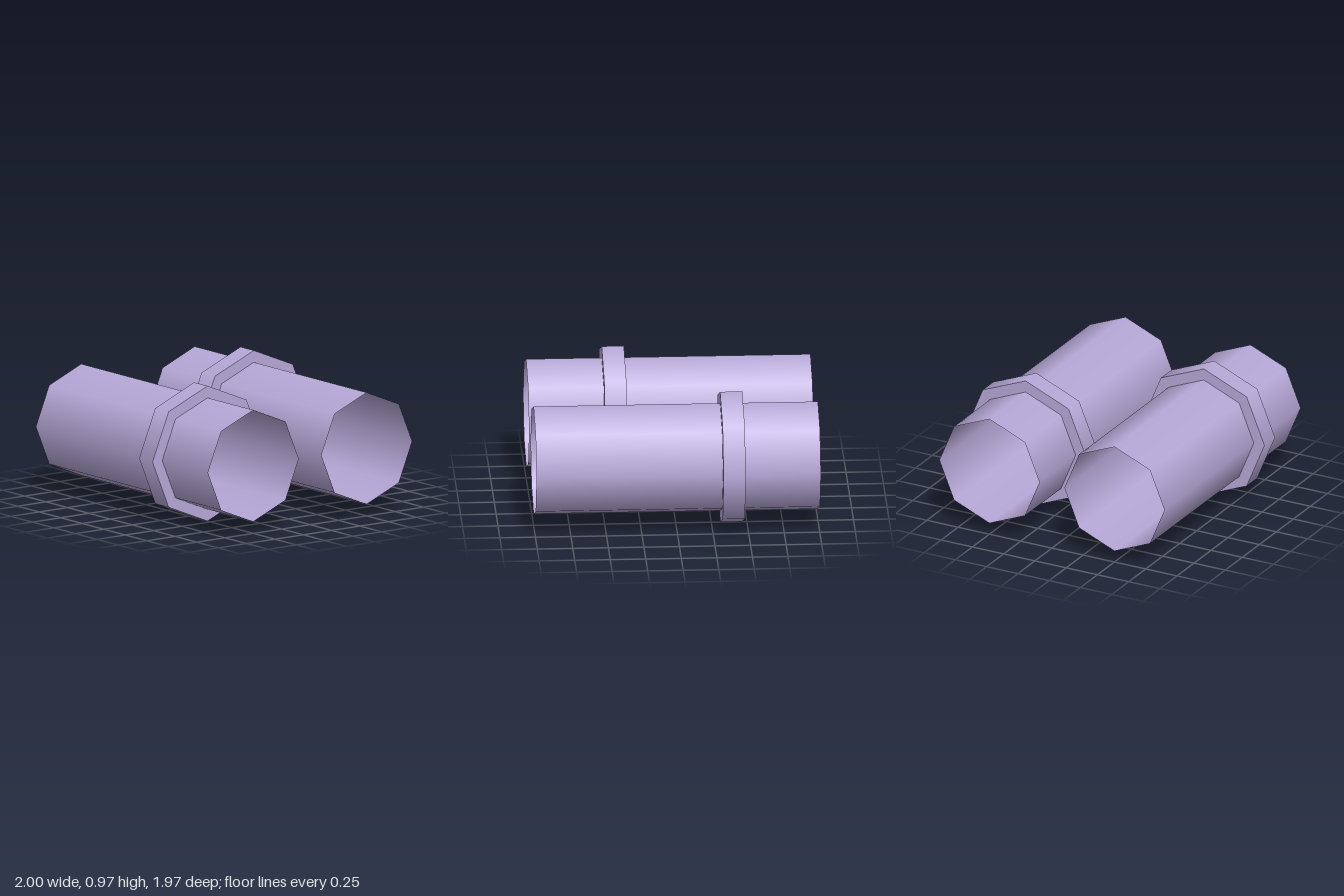
import * as THREE from 'three';

const SIDES = 8;
const PIPE_RADIUS = 0.4;
const COLLAR_RADIUS = 0.485;
const COLLAR_WIDTH = 0.156;

export function createModel() {
  const model = new THREE.Group();
  model.name = 'pipePair';
  const material = new THREE.MeshStandardMaterial({ color: 0xb8a9d9 });
  material.side = THREE.DoubleSide;

  function add(parent, name, geometry, x = 0) {
    const mesh = new THREE.Mesh(geometry, material);
    mesh.name = name;
    mesh.position.x = x;
    parent.add(mesh);
  }

  // Open eight-sided wall lying along x
  const wall = (radius, length) =>
    new THREE.CylinderGeometry(radius, radius, length, SIDES, 1, true).rotateZ(Math.PI / 2);

  // Two pipes, the second turned half round so its collar sits at the other end
  for (const side of [1, -1]) {
    const pipe = new THREE.Group();
    pipe.name = side > 0 ? 'frontPipe' : 'backPipe';
    pipe.position.set(0, COLLAR_RADIUS, side * 0.5);
    if (side < 0) pipe.rotation.y = Math.PI;
    add(pipe, 'pipeWall', wall(PIPE_RADIUS, 2));

    // Raised collar: outer band and two flat end faces
    const collar = new THREE.Group();
    collar.name = 'collar';
    collar.position.x = 0.39;
    add(collar, 'collarBand', wall(COLLAR_RADIUS, COLLAR_WIDTH));
    for (const end of [1, -1]) {
      const face = new THREE.RingGeometry(PIPE_RADIUS, COLLAR_RADIUS, SIDES).rotateY(end * Math.PI / 2);
      add(collar, 'collarFace', face, end * COLLAR_WIDTH / 2);
    }
    pipe.add(collar);
    model.add(pipe);
  }
  return model;
}
